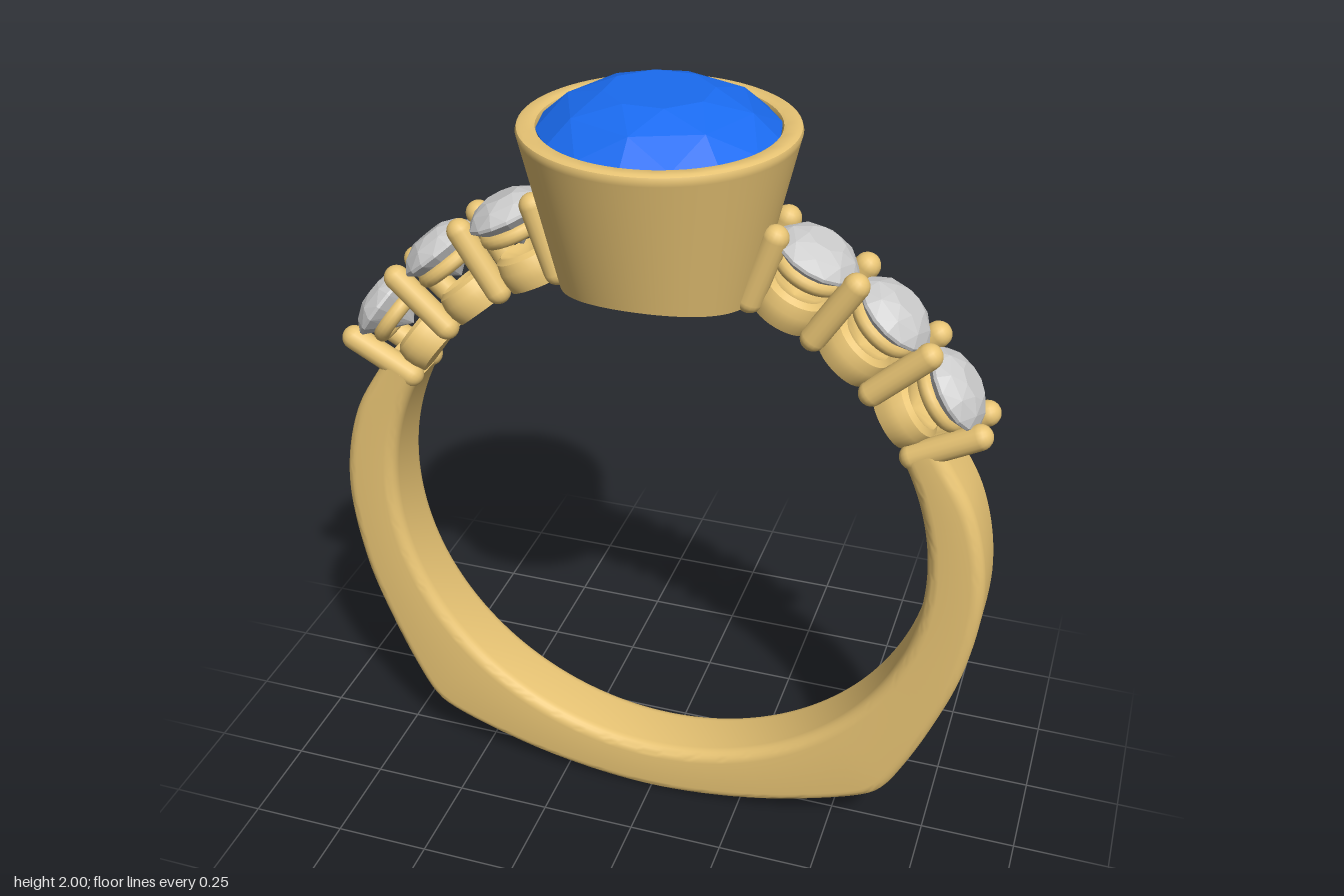
import * as THREE from 'three';
import { toCreasedNormals } from 'three/addons/utils/BufferGeometryUtils.js';
import { ConvexGeometry } from 'three/addons/geometries/ConvexGeometry.js';

const CY = 0.855;      // height of the finger hole's centre
const R_IN = 0.705;    // finger hole radius
const rad = THREE.MathUtils.degToRad;

const gold = new THREE.MeshStandardMaterial({ color: 0xe8c474 });
const blue = new THREE.MeshStandardMaterial({ color: 0x1a6bf0 });
const grey = new THREE.MeshStandardMaterial({ color: 0xcccccc, flatShading: true });
blue.flatShading = true;

function add(parent, name, geometry, material, x = 0, y = 0, z = 0) {
  const mesh = new THREE.Mesh(geometry, material);
  mesh.name = name;
  mesh.position.set(x, y, z);
  parent.add(mesh);
  return mesh;
}

// Round faceted stone: girdle at y = 0, table above, point below
function brilliant(r, crown, depth) {
  const pts = [new THREE.Vector3(0, -depth, 0)];
  const ring = (n, radius, y, turn) => {
    for (let i = 0; i < n; i++) {
      const a = ((i + turn) / n) * Math.PI * 2;
      pts.push(new THREE.Vector3(radius * Math.sin(a), y, radius * Math.cos(a)));
    }
  };
  ring(8, r * 0.45, crown, 0.5);
  ring(8, r * 0.78, crown * 0.64, 0);
  ring(16, r, 0.004, 0);
  ring(16, r, -0.004, 0);
  ring(8, r * 0.55, -depth * 0.5, 0.5);
  return new ConvexGeometry(pts);
}

// Shank: rounded rectangle swept round the finger hole, thickening to two lower corners
function shankGeometry() {
  const half = [
    [0.711, 0.378], [0.805, 0.21], [0.848, 0], [0.82, -0.255], [0.755, -0.455],
    [0.69, -0.605], [0.648, -0.68], [0.61, -0.715], [0.4, -0.795], [0.2, -0.839],
  ];
  const outline = [
    ...half, [0, -0.855], ...half.slice().reverse().map(([x, y]) => [-x, y]),
  ].map(([x, y]) => new THREE.Vector3(x, y, 0));
  const path = new THREE.CatmullRomCurve3(outline, false, 'centripetal').getSpacedPoints(160);
  const h = 0.09, r = 0.032, steps = 6, n = 4 * (steps + 1);
  const pos = [], idx = [];
  for (const p of path) {
    const len = Math.hypot(p.x, p.y), t = len - R_IN;
    for (let k = 0; k < 4; k++) {
      const su = k < 2 ? 1 : -1, sz = k === 1 || k === 2 ? 1 : -1;
      for (let s = 0; s <= steps; s++) {
        const a = (k - 1 + s / steps) * Math.PI / 2;
        const d = R_IN + t / 2 + su * (t / 2 - r) + r * Math.cos(a);
        pos.push(p.x / len * d, p.y / len * d, sz * (h - r) + r * Math.sin(a));
      }
    }
  }
  const last = (path.length - 1) * n;
  for (let i = 0; i < path.length - 1; i++) {
    for (let j = 0; j < n; j++) {
      const a = i * n + j, c = i * n + (j + 1) % n;
      idx.push(a, c, a + n, c, c + n, a + n);
    }
  }
  for (let j = 1; j < n - 1; j++) idx.push(0, j + 1, j, last, last + j, last + j + 1);
  const g = new THREE.BufferGeometry();
  g.setAttribute('position', new THREE.Float32BufferAttribute(pos, 3));
  g.setIndex(idx);
  return toCreasedNormals(g, rad(40));
}

// Tapered bezel with a through hole; its underside follows the finger hole
function bezelGeometry() {
  const profile = [
    [0.105, 1.5], [0.15, 1.5], [0.2, 1.5], [0.235, 1.5],
    [0.322, 1.9], [0.325, 1.912], [0.322, 1.921], [0.314, 1.925],
    [0.288, 1.925], [0.28, 1.921], [0.277, 1.912], [0.277, 1.87],
    [0.105, 1.68], [0.105, 1.5],
  ].map(([x, y]) => new THREE.Vector2(x, y));
  const g = new THREE.LatheGeometry(profile, 72);
  const p = g.attributes.position;
  for (let i = 0; i < p.count; i++) {
    if (p.getY(i) < 1.51) p.setY(i, CY + Math.sqrt(R_IN ** 2 - p.getX(i) ** 2));
  }
  return toCreasedNormals(g, rad(35));
}

// Rounded cup under a side stone, its base curved to the finger hole
function cupGeometry() {
  const profile = [
    [0, 0.7], [0.04, 0.7], [0.078, 0.7], [0.086, 0.73], [0.087, 0.755],
    [0.08, 0.78], [0.065, 0.79], [0.05, 0.78], [0, 0.76],
  ].map(([x, y]) => new THREE.Vector2(x, y));
  const g = new THREE.LatheGeometry(profile, 32);
  const p = g.attributes.position;
  for (let i = 0; i < p.count; i++) {
    if (p.getY(i) < 0.705) p.setY(i, Math.sqrt(R_IN ** 2 - p.getX(i) ** 2));
  }
  return toCreasedNormals(g, rad(40));
}

export function createModel() {
  const model = new THREE.Group();
  model.name = 'ring';

  add(model, 'shank', shankGeometry(), gold, 0, CY, 0);
  add(model, 'bezel', bezelGeometry(), gold);
  add(model, 'centreStone', brilliant(0.28, 0.09, 0.2), blue, 0, 1.91, 0);

  const cup = cupGeometry();
  const seat = new THREE.TorusGeometry(0.072, 0.02, 12, 32).rotateX(Math.PI / 2);
  const stone = brilliant(0.105, 0.046, 0.085);
  const prong = new THREE.CapsuleGeometry(0.032, 0.17, 6, 16);
  const bar = new THREE.CylinderGeometry(0.022, 0.022, 0.11, 12).rotateX(Math.PI / 2);

  for (const side of [1, -1]) {
    const shoulder = new THREE.Group();
    shoulder.name = side > 0 ? 'leftShoulder' : 'rightShoulder';
    shoulder.position.y = CY;
    model.add(shoulder);

    // A group whose local y points outward from the finger hole
    const spoke = (name, degrees) => {
      const g = new THREE.Group();
      g.name = name;
      g.rotation.z = -side * rad(degrees);
      shoulder.add(g);
      return g;
    };

    for (const angle of [25.5, 40, 55]) {
      const g = spoke('stoneSetting', angle);
      add(g, 'cup', cup, gold);
      add(g, 'seatRing', seat, gold, 0, 0.842, 0);
      add(g, 'sideStone', stone, grey, 0, 0.882, 0);
    }
    for (const angle of [19, 32.5, 47.3, 62]) {
      const g = spoke('prongPair', angle);
      for (const z of [-0.058, 0.058]) add(g, 'prong', prong, gold, 0, 0.813, z);
      add(g, 'prongBar', bar, gold, 0, 0.735, 0);
    }
  }
  return model;
}
